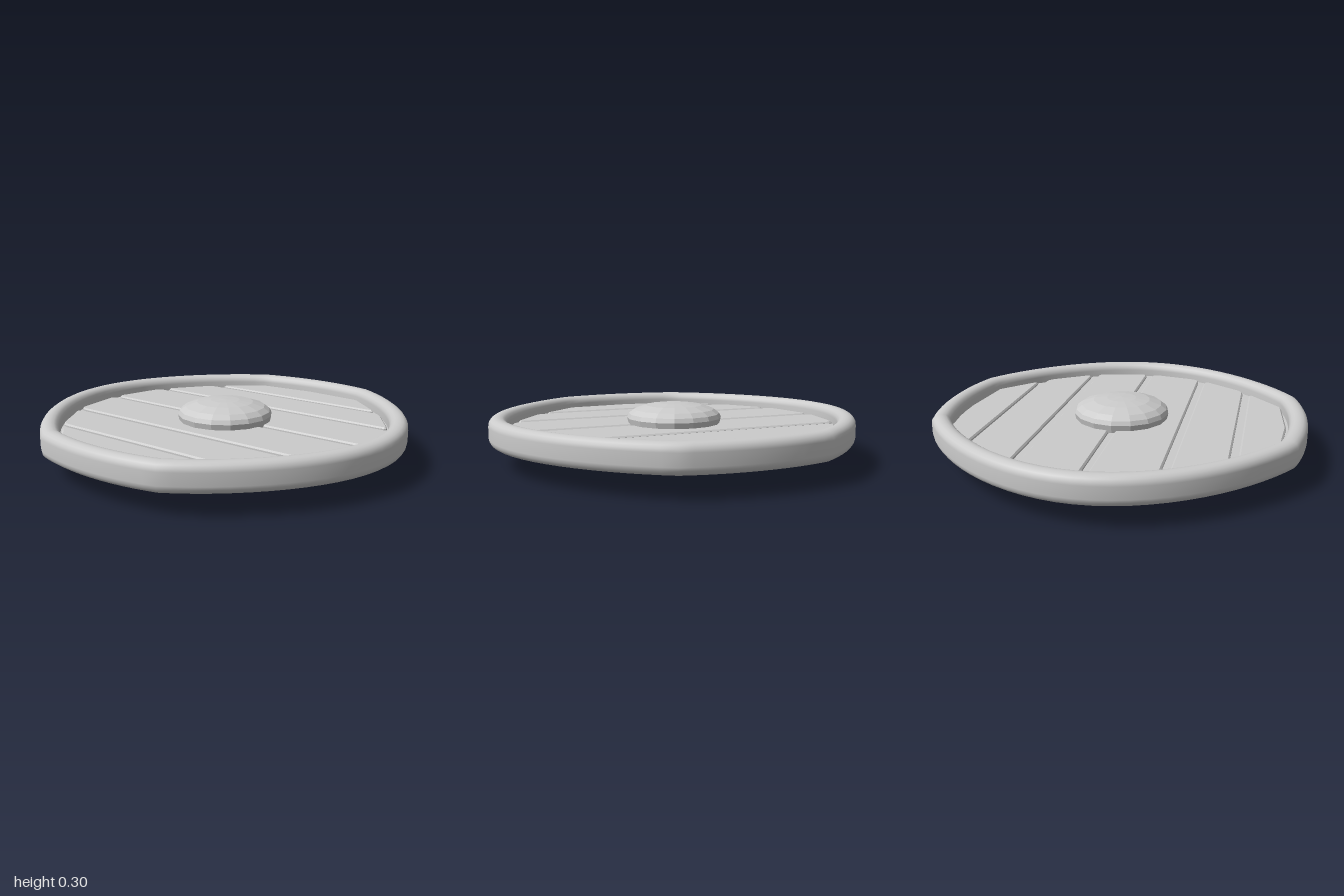
import * as THREE from 'three';

const grey = (opts = {}) => new THREE.MeshStandardMaterial({ color: 0xcccccc, ...opts });
const V = (x, y) => new THREE.Vector2(x, y);

function addMesh(parent, name, geometry, material = grey()) {
  const mesh = new THREE.Mesh(geometry, material);
  mesh.name = name;
  parent.add(mesh);
  return mesh;
}

// Outline: a round with four soft corners, one quarter mirrored twice
function outlinePoints() {
  const side = new THREE.QuadraticBezierCurve(V(1, 0), V(1, 0.2), V(0.945, 0.385)).getPoints(6);
  const end = new THREE.CubicBezierCurve(V(0.945, 0.385), V(0.77, 0.68), V(0.4, 1), V(0, 1)).getPoints(14);
  const quarter = [...side, ...end.slice(1)];
  const half = [...quarter, ...quarter.slice(0, -1).reverse().map(p => V(-p.x, p.y))];
  return [...half, ...half.slice(1, -1).reverse().map(p => V(p.x, -p.y))];
}

// Rounded-rectangle section swept around the outline
function rimGeometry(outline) {
  const section = [];
  const r = 0.042, s0 = 0.902, s1 = 1, y0 = 0.11, y1 = 0.256;
  const corners = [[s1 - r, y0 + r, -90], [s1 - r, y1 - r, 0], [s0 + r, y1 - r, 90], [s0 + r, y0 + r, 180]];
  for (const [s, y, start] of corners) {
    for (let k = 0; k <= 4; k++) {
      const a = THREE.MathUtils.degToRad(start + k * 22.5);
      section.push([s + r * Math.cos(a), y + r * Math.sin(a)]);
    }
  }
  const n = outline.length, m = section.length, positions = [], index = [];
  for (const p of outline) for (const [s, y] of section) positions.push(p.x * s, y, p.y * s);
  for (let i = 0; i < n; i++) {
    for (let j = 0; j < m; j++) {
      const i2 = (i + 1) % n, j2 = (j + 1) % m;
      const a = i * m + j, b = i2 * m + j, c = i * m + j2, d = i2 * m + j2;
      index.push(a, c, b, b, c, d);
    }
  }
  const g = new THREE.BufferGeometry();
  g.setAttribute('position', new THREE.Float32BufferAttribute(positions, 3));
  g.setIndex(index);
  g.computeVertexNormals();
  return g;
}

// Polygon with corners rounded by the radius in each point's third value
function roundedShape(points) {
  const shape = new THREE.Shape();
  const n = points.length;
  points.forEach(([x, y, r], i) => {
    const p = V(x, y);
    const toward = q => p.clone().add(V(q[0], q[1]).sub(p).setLength(r));
    const a = toward(points[(i + n - 1) % n]), b = toward(points[(i + 1) % n]);
    if (i === 0) shape.moveTo(a.x, a.y);
    else shape.lineTo(a.x, a.y);
    if (r > 0) shape.quadraticCurveTo(x, y, b.x, b.y);
  });
  shape.closePath();
  return shape;
}

// Flat slab lying between two heights
function slab(shape, bottom, top, bevel = 0) {
  return new THREE.ExtrudeGeometry(shape, {
    depth: top - bottom - bevel, bevelEnabled: bevel > 0, bevelSize: bevel, bevelThickness: bevel,
    bevelOffset: -bevel, bevelSegments: 1, curveSegments: 4,
  }).rotateX(-Math.PI / 2).translate(0, bottom, 0);
}

export function createModel() {
  const model = new THREE.Group();
  model.name = 'roundShield';
  const outline = outlinePoints();

  addMesh(model, 'rim', rimGeometry(outline));

  // Backing board; its face forms the floor of the grooves
  const boardShape = new THREE.Shape(outline.map(p => p.clone().multiplyScalar(0.93)));
  addMesh(model, 'backBoard', slab(boardShape, 0.145, 0.176));

  // Planks: [inner x, inner half length, outer x, outer half length]
  const planks = new THREE.Group();
  planks.name = 'planks';
  model.add(planks);
  const halves = [
    [[0.018, 0.89], [0.335, 0.825]],
    [[0.375, 0.8], [0.63, 0.62]],
    [[0.67, 0.57], [0.86, 0.35], [0.89, 0]],
  ];
  for (const side of [1, -1]) {
    halves.forEach((half, i) => {
      const upper = half.map(([x, z], k) => [x * side, z, z === 0 ? 0 : k === 0 || i < 2 ? 0.045 : 0.02]);
      const lower = upper.filter(p => p[1] > 0).reverse().map(([x, z, r]) => [x, -z, r]);
      const name = (side > 0 ? 'left' : 'right') + 'Plank' + (i + 1);
      addMesh(planks, name, slab(roundedShape([...upper, ...lower]), 0.16, 0.192, 0.008));
    });
  }

  // Low domed boss
  const profile = [[0.25, 0.18], [0.26, 0.222], [0.25, 0.245], [0.22, 0.268], [0.155, 0.29], [0.08, 0.3], [0, 0.303]];
  addMesh(model, 'boss', new THREE.LatheGeometry(profile.map(([r, y]) => V(r, y)), 16),
    grey({ flatShading: true }));

  // Grip: a bar between two posts on the back
  const grip = roundedShape([
    [-0.38, 0.15, 0], [-0.38, 0, 0.006], [0.38, 0, 0.006], [0.38, 0.15, 0],
    [0.25, 0.15, 0], [0.243, 0.066, 0.035], [-0.243, 0.066, 0.035], [-0.25, 0.15, 0],
  ]);
  const gripGeometry = new THREE.ExtrudeGeometry(grip, { depth: 0.11, bevelEnabled: false, curveSegments: 4 });
  addMesh(model, 'handle', gripGeometry.translate(0, 0, -0.055).rotateY(-Math.PI / 2));

  return model;
}
